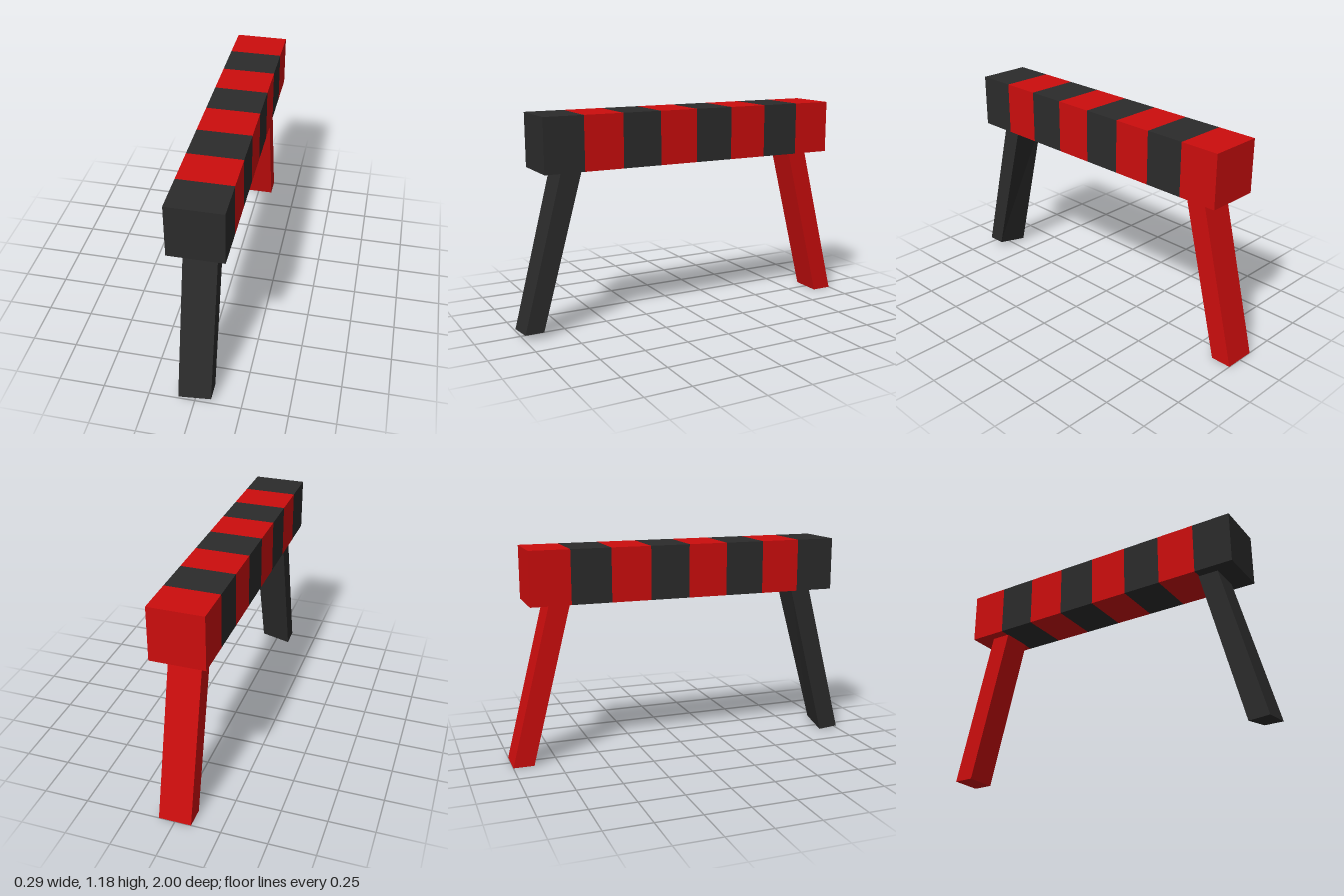
import * as THREE from 'three';

const black = new THREE.MeshStandardMaterial({ color: 0x2b2b2b, flatShading: true });
const red = new THREE.MeshStandardMaterial({ color: 0xcc0d0d, flatShading: true });

const BEAM_SIZE = 0.295, BEAM_BOTTOM = 0.89, BEAM_LENGTH = 1.77, STRIPES = 8;
const LEG_WIDTH = 0.178, LEG_DEPTH = 0.115;

// Slanted leg: a box sheared outwards; cut(x, z) gives the height of the foot's cut
// and trim how far its inner +x edge is drawn in at the foot.
function makeLeg(name, material, side, cut, trim) {
  const geometry = new THREE.BoxGeometry(LEG_WIDTH, 1, LEG_DEPTH);
  const p = geometry.attributes.position;
  for (let i = 0; i < p.count; i++) {
    const x = p.getX(i), z = p.getZ(i), top = p.getY(i) > 0;
    const inner = z * side < 0;
    const inset = !top && inner && x > 0 ? trim : 0;
    p.setY(i, top ? BEAM_BOTTOM : cut(x > 0, inner));
    p.setZ(i, z + side * ((top ? 0.717 : 0.9425) + inset));
  }
  geometry.computeVertexNormals();
  const leg = new THREE.Mesh(geometry, material);
  leg.name = name;
  return leg;
}

export function createModel() {
  const model = new THREE.Group();
  model.name = 'stripedBarrier';

  // Beam of alternating blocks, black at the front and red at the back
  const beam = new THREE.Group();
  beam.name = 'beam';
  const step = BEAM_LENGTH / STRIPES;
  const block = new THREE.BoxGeometry(BEAM_SIZE, BEAM_SIZE, step);
  for (let i = 0; i < STRIPES; i++) {
    const stripe = new THREE.Mesh(block, i % 2 ? red : black);
    stripe.name = `beamStripe${i + 1}`;
    stripe.position.set(0, BEAM_BOTTOM + BEAM_SIZE / 2, BEAM_LENGTH / 2 - (i + 0.5) * step);
    beam.add(stripe);
  }
  model.add(beam);

  // Front leg has a slightly crooked foot, back leg stands flat
  model.add(makeLeg('frontLeg', black, 1, (left, inner) => (left ? 0.033 : inner ? 0.003 : 0.012), 0.012));
  model.add(makeLeg('backLeg', red, -1, () => 0, 0));
  return model;
}
